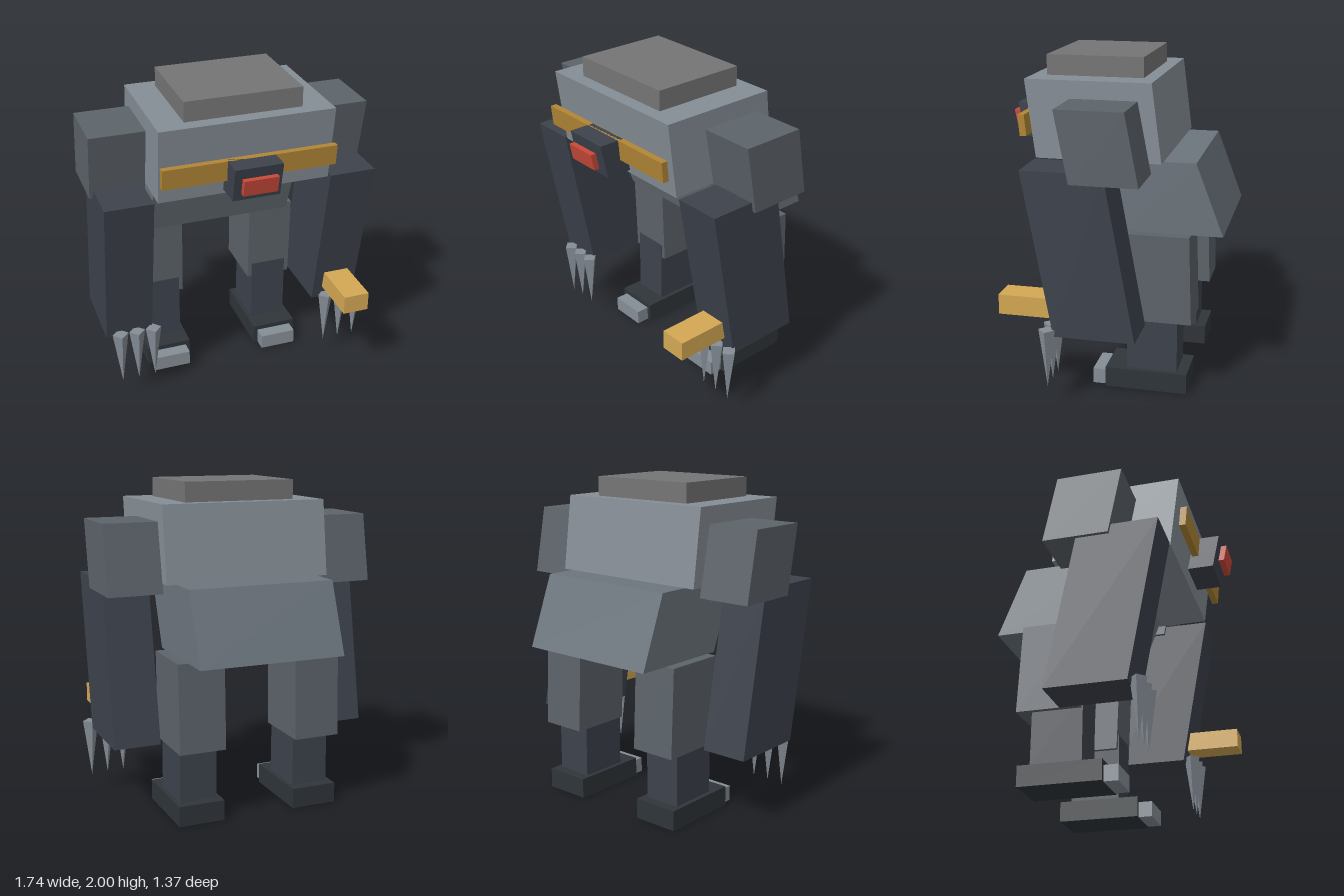
import * as THREE from 'three';

const COLORS = {
  plate: 0x868e96, belly: 0x6c757d, limb: 0x5c636a, dark: 0x3d424c, foot: 0x2f353a,
  cap: 0x757575, band: 0xb28635, gold: 0xd4a853, red: 0xcb4a3a,
};
const materials = {};
for (const key in COLORS) {
  materials[key] = new THREE.MeshStandardMaterial({ color: COLORS[key], flatShading: true });
}

const CX = -0.0175; // body's plane of symmetry

// Box spanning x0..x1, y0..y1 and z0..z1 at its base, its top slid along z by lean
function slab(name, mat, [x0, x1], [y0, y1], [z0, z1], lean = 0) {
  const geo = new THREE.BoxGeometry(x1 - x0, y1 - y0, z1 - z0);
  const pos = geo.attributes.position;
  for (let i = 0; i < pos.count; i++) {
    if (pos.getY(i) > 0) pos.setZ(i, pos.getZ(i) + lean);
  }
  geo.computeVertexNormals();
  const mesh = new THREE.Mesh(geo, materials[mat]);
  mesh.position.set((x0 + x1) / 2, (y0 + y1) / 2, (z0 + z1) / 2);
  mesh.name = name;
  return mesh;
}

export function createModel() {
  const model = new THREE.Group();
  model.name = 'walkingRobot';

  // Torso
  model.add(
    slab('topHatch', 'cap', [-0.37, 0.335], [1.88, 2], [-0.19, 0.39]),
    slab('chest', 'plate', [-0.54, 0.505], [1.42, 1.88], [-0.33, 0.415], 0.06),
    slab('abdomen', 'belly', [-0.475, 0.44], [0.99, 1.42], [-0.685, -0.05], 0.165),
  );

  // Head with its eye and the band across the chest
  model.add(
    slab('chestBand', 'band', [-0.54, 0.505], [1.545, 1.67], [0.47, 0.51], 0.012),
    slab('head', 'dark', [-0.16, 0.125], [1.46, 1.67], [0.44, 0.6], 0.045),
    slab('eye', 'red', [-0.12, 0.085], [1.515, 1.615], [0.63, 0.665], 0.02),
  );

  for (const side of [-1, 1]) {
    const prefix = side > 0 ? 'left' : 'right';
    // Range on this side, given as distances from the symmetry plane
    const span = (a, b) => (side > 0 ? [CX + a, CX + b] : [CX - b, CX - a]);

    // Leg
    const leg = new THREE.Group();
    leg.name = prefix + 'Leg';
    leg.add(
      slab('thigh', 'limb', span(0.23, 0.52), [0.45, 0.99], [-0.517, -0.13], 0.02),
      slab('shin', 'dark', span(0.257, 0.49), [0.125, 0.55], [-0.43, -0.122]),
      slab('foot', 'foot', span(0.23, 0.52), [0, 0.125], [-0.495, 0.005]),
      slab('toe', 'plate', span(0.257, 0.49), [0, 0.095], [0.005, 0.09]),
    );

    // Arm
    const arm = new THREE.Group();
    arm.name = prefix + 'Arm';
    arm.add(
      slab('shoulder', 'limb', span(0.521, 0.855), [1.36, 1.775], [-0.27, 0.125], 0.08),
      slab('forearm', 'dark', span(0.543, 0.833), [0.44, 1.42], [-0.245, 0.235], 0.18),
    );

    // Claws: four-sided spikes pointing down
    for (let i = -1; i <= 1; i++) {
      const claw = new THREE.Mesh(new THREE.ConeGeometry(0.05, 0.36, 4), materials.plate);
      claw.name = 'claw';
      claw.rotation.x = Math.PI;
      claw.position.set(CX + side * 0.688 + 0.04 + i * 0.105, 0.3, 0.275);
      arm.add(claw);
    }
    model.add(leg, arm);
  }

  // Blaster on the left forearm
  model.add(slab('blaster', 'gold', [0.588, 0.752], [0.525, 0.645], [0.18, 0.585]));

  return model;
}
